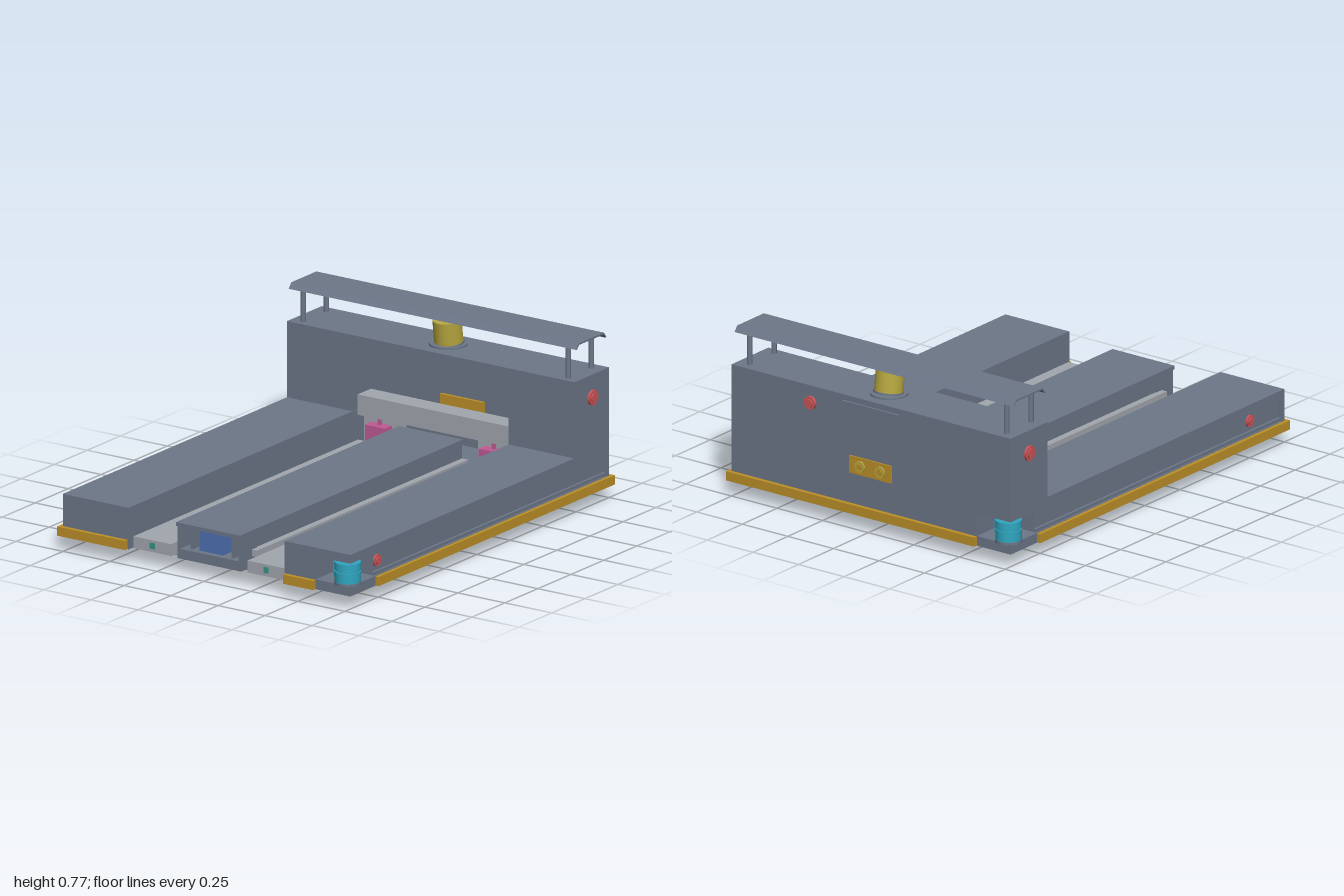
import * as THREE from 'three';

const mat = (name, color) => {
  const m = new THREE.MeshStandardMaterial({ color });
  m.name = name;
  return m;
};

export function createModel() {
  const root = new THREE.Group();
  root.name = 'palletVehicle';
  const body = mat('bodyGrey', 0x6c7788);
  const light = mat('lightGrey', 0xa2a7ae);
  const amber = mat('bumperAmber', 0xbd9028);
  const yellow = mat('sensorYellow', 0xb8a840);
  const red = mat('buttonRed', 0xcc5458);
  const cyan = mat('scannerCyan', 0x30a6c0);
  const teal = mat('casterTeal', 0x329486);
  const blue = mat('driveBlue', 0x5070b4);
  const pink = mat('actuatorPink', 0xc05a94);

  const add = (parent, name, geo, m) => {
    const mesh = new THREE.Mesh(geo, m);
    mesh.name = name;
    parent.add(mesh);
    return mesh;
  };
  // box given by its limits on each axis
  const box = (parent, name, m, x0, x1, y0, y1, z0, z1) => {
    const b = add(parent, name, new THREE.BoxGeometry(x1 - x0, y1 - y0, z1 - z0), m);
    b.position.set((x0 + x1) / 2, (y0 + y1) / 2, (z0 + z1) / 2);
    return b;
  };
  // cylinder along a chosen axis
  const cyl = (parent, name, m, r, h, x, y, z, axis = 'y', n = 32) => {
    const g = new THREE.CylinderGeometry(r, r, h, n);
    if (axis === 'x') g.rotateZ(Math.PI / 2);
    if (axis === 'z') g.rotateX(Math.PI / 2);
    const c = add(parent, name, g, m);
    c.position.set(x, y, z);
    return c;
  };

  // Base plate with two fork slots and round caster openings
  const half = [[0, -0.96], [0.17, -0.96], [0.17, 0.83], [0.415, 0.83], [0.415, -0.98], [0.765, -0.98], [0.765, 0.98]];
  const outline = [...half, ...half.slice(1).reverse().map(([x, z]) => [-x, z])];
  const plate = new THREE.Shape(outline.map(([x, z]) => new THREE.Vector2(x, z)));
  const hole = (x, z, r) => {
    const p = new THREE.Path();
    p.absarc(x, z, r, 0, Math.PI * 2, true);
    plate.holes.push(p);
  };
  for (const x of [-0.585, 0.585]) for (const z of [-0.6, 0.6]) hole(x, z, 0.1);
  const plateGeo = new THREE.ExtrudeGeometry(plate, { depth: 0.045, bevelEnabled: false, curveSegments: 16 });
  plateGeo.rotateX(-Math.PI / 2);
  add(root, 'basePlate', plateGeo, body).position.y = 0.065;
  cyl(root, 'floorSensor', light, 0.035, 0.004, 0, 0.064, 0);

  // Outer arms; the second is the first turned half a circle
  for (const turn of [0, Math.PI]) {
    const arm = new THREE.Group();
    arm.name = turn ? 'rightArm' : 'leftArm';
    arm.rotation.y = turn;
    root.add(arm);
    box(arm, 'armTop', body, 0.415, 0.765, 0.215, 0.255, -0.98, 0.98);
    box(arm, 'armCore', body, 0.415, 0.745, 0.11, 0.215, -0.965, 0.79);
    box(arm, 'armEndCap', body, 0.415, 0.765, 0.11, 0.215, -0.98, -0.965);
    box(arm, 'armNose', body, 0.415, 0.58, 0.11, 0.215, 0.79, 0.98);
    box(arm, 'armSideRib', body, 0.745, 0.757, 0.11, 0.125, -0.965, 0.79);
    // bumpers
    box(arm, 'sideBumper', amber, 0.765, 0.782, 0.066, 0.108, -1, 0.79);
    box(arm, 'noseBumper', amber, 0.42, 0.58, 0.066, 0.108, 0.98, 1);
    box(arm, 'endBumper', amber, 0.42, 0.765, 0.066, 0.108, -1, -0.98);
    // corner safety scanner
    cyl(arm, 'scannerFoot', body, 0.06, 0.012, 0.72, 0.112, 0.935);
    cyl(arm, 'scannerLower', cyan, 0.058, 0.05, 0.72, 0.14, 0.935);
    cyl(arm, 'scannerWaist', cyan, 0.052, 0.008, 0.72, 0.168, 0.935);
    cyl(arm, 'scannerHead', cyan, 0.058, 0.035, 0.72, 0.189, 0.935);
    box(arm, 'scannerBox', cyan, 0.63, 0.69, 0.12, 0.2, 0.845, 0.92);
    // drive wheel and twin casters
    cyl(arm, 'driveWheel', blue, 0.117, 0.095, 0.498, 0.117, 0, 'x', 40);
    for (const z of [-0.6, 0.6]) {
      for (const x of [0.557, 0.61]) cyl(arm, 'casterWheel', teal, 0.065, 0.038, x, 0.065, z, 'x');
      cyl(arm, 'casterHub', teal, 0.035, 0.03, 0.584, 0.07, z, 'x');
    }
  }
  box(root, 'backBumper', amber, -0.42, 0.42, 0.066, 0.108, -1, -0.98);

  // Rear tower with an open bay in front
  const tower = new THREE.Group();
  tower.name = 'tower';
  root.add(tower);
  box(tower, 'towerRightColumn', body, -0.765, -0.418, 0.255, 0.603, -0.98, -0.717);
  box(tower, 'towerLeftColumn', body, 0.415, 0.765, 0.255, 0.603, -0.98, -0.717);
  box(tower, 'towerBack', body, -0.418, 0.415, 0.11, 0.603, -0.98, -0.965);
  box(tower, 'towerRoof', body, -0.418, 0.415, 0.592, 0.603, -0.965, -0.717);
  box(tower, 'controlPanel', body, -0.155, 0.152, 0.355, 0.577, -0.99, -0.95);
  box(tower, 'connectorBox', amber, -0.115, 0.115, 0.25, 0.33, -0.987, -0.95);
  for (const x of [-0.055, 0.055]) {
    cyl(tower, 'connectorRing', yellow, 0.027, 0.008, x, 0.29, -0.99, 'z', 20);
    cyl(tower, 'connectorPin', amber, 0.014, 0.012, x, 0.29, -0.991, 'z', 16);
  }

  // Stop buttons
  const button = (x, y, z, axis, r, dx, dz) => {
    cyl(root, 'stopButtonCollar', red, r, 0.018, x, y, z, axis);
    cyl(root, 'stopButtonCap', red, r * 0.65, 0.018, x + dx, y, z + dz, axis);
  };
  for (const s of [-1, 1]) {
    button(s * 0.767, 0.5, -0.85, 'x', 0.034, s * 0.005, 0);
    button(s * 0.745, 0.17, 0.755, 'x', 0.027, s * 0.006, 0);
  }
  button(0.33, 0.525, -0.984, 'z', 0.03, 0, -0.006);
  cyl(root, 'stopButtonRear', red, 0.028, 0.02, 0.33, 0.525, -0.96, 'z');

  // Guard roof: bent sheet with sloping lips, on four posts
  const sheet = new THREE.Shape([
    [-0.115, 0.747], [-0.095, 0.772], [0.095, 0.772], [0.115, 0.747], [0.109, 0.745], [0.092, 0.764], [-0.092, 0.764], [-0.109, 0.745],
  ].map(([z, y]) => new THREE.Vector2(z, y)));
  const sheetGeo = new THREE.ExtrudeGeometry(sheet, { depth: 1.53, bevelEnabled: false });
  sheetGeo.rotateY(-Math.PI / 2);
  add(root, 'guardRoof', sheetGeo, body).position.set(0.765, 0, -0.845);
  for (const x of [-0.705, 0.705]) for (const z of [-0.755, -0.93])
    cyl(root, 'guardPost', body, 0.012, 0.165, x, 0.683, z, 'y', 16);

  // Tilted turret sensor
  cyl(root, 'turretBase', body, 0.085, 0.008, 0, 0.607, -0.85);
  const turret = new THREE.Group();
  turret.name = 'turretSensor';
  turret.position.set(0, 0.67, -0.847);
  turret.rotation.x = 0.13;
  root.add(turret);
  cyl(turret, 'turretFlange', body, 0.068, 0.008, 0, -0.056, 0);
  cyl(turret, 'turretHead', yellow, 0.064, 0.105, 0, 0, 0);

  // Centre beam with an open nose holding a scanner
  const beam = new THREE.Group();
  beam.name = 'centreBeam';
  root.add(beam);
  box(beam, 'beamCore', body, -0.165, 0.165, 0.11, 0.215, -0.72, 0.84);
  box(beam, 'beamTop', body, -0.17, 0.17, 0.215, 0.232, -0.72, 0.97);
  box(beam, 'beamScanner', blue, -0.062, 0.062, 0.115, 0.21, 0.84, 0.945);
  for (const s of [-1, 1]) {
    const wall = (name, m, a, b, ...r) => box(beam, name, m, Math.min(s * a, s * b), Math.max(s * a, s * b), ...r);
    wall('beamCheek', body, 0.155, 0.17, 0.11, 0.215, 0.84, 0.96);
    wall('scannerBracket', body, 0.105, 0.115, 0.11, 0.215, 0.84, 0.94);
    wall('beamRail', light, 0.165, 0.197, 0.115, 0.145, -0.72, 0.88);
  }

  // Lifting forks: downward channels with linkage inside
  for (const s of [-1, 1]) {
    const fork = new THREE.Group();
    fork.name = s > 0 ? 'leftFork' : 'rightFork';
    fork.position.x = s * 0.303;
    root.add(fork);
    box(fork, 'forkTop', light, -0.1, 0.1, 0.11, 0.122, -0.74, 0.96);
    for (const x of [-0.1, 0.088]) box(fork, 'forkSide', light, x, x + 0.012, 0.068, 0.11, -0.74, 0.96);
    box(fork, 'forkTip', light, -0.088, 0.088, 0.068, 0.11, 0.945, 0.96);
    box(fork, 'tipPad', body, -0.08, 0.08, 0.07, 0.11, 0.74, 0.945);
    box(fork, 'tipSensor', teal, -0.013, 0.013, 0.083, 0.11, 0.955, 0.963);
    for (const x of [-0.035, 0.035]) {
      box(fork, 'pushRod', light, x - 0.01, x + 0.01, 0.08, 0.095, -0.55, 0.74);
      box(fork, 'linkBar', body, x * 1.8 - 0.006, x * 1.8 + 0.006, 0.075, 0.1, -0.4, 0.6);
    }
    for (const z of [-0.3, 0.35]) {
      cyl(fork, 'pivotShaft', body, 0.01, 0.17, 0, 0.085, z, 'x', 12);
      cyl(fork, 'pivotRoller', amber, 0.02, 0.04, 0, 0.085, z, 'x', 16);
    }
    // heel with actuator
    box(fork, 'forkHeel', light, -0.095, 0.095, 0.068, 0.235, -0.83, -0.78);
    box(fork, 'actuator', pink, -0.053, 0.053, 0.12, 0.203, -0.79, -0.725);
    box(fork, 'actuatorPole', pink, -0.007, 0.007, 0.2, 0.236, -0.77, -0.755);
    box(fork, 'actuatorTray', pink, -0.088, 0.088, 0.065, 0.072, -0.8, -0.62);
  }
  box(root, 'carriageBar', light, -0.405, 0.402, 0.235, 0.328, -0.84, -0.74);

  return root;
}
